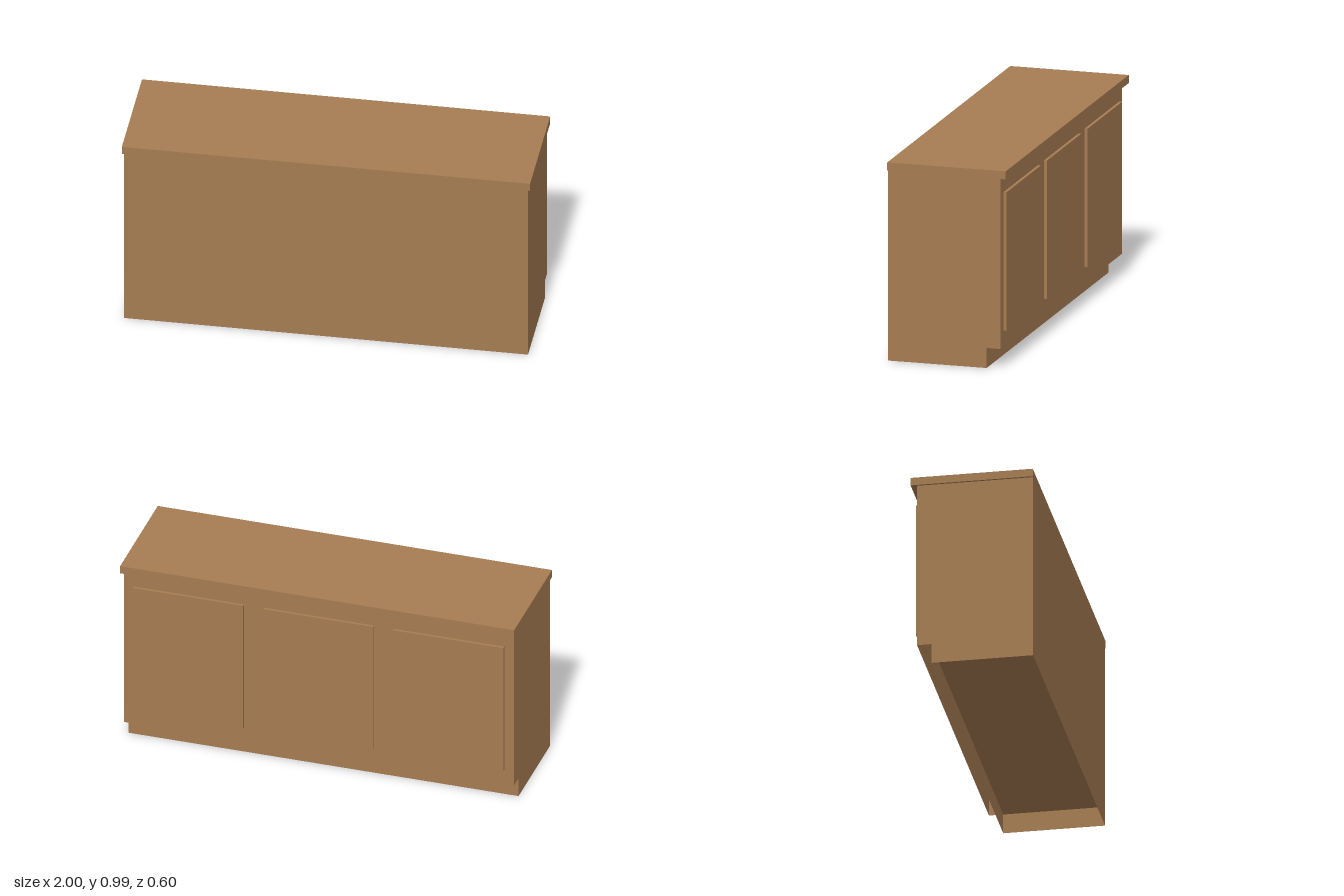
import * as THREE from 'three';

export function createModel() {
  const model = new THREE.Group();
  const wood = new THREE.MeshStandardMaterial({ color: 0xa67c52, side: THREE.DoubleSide });
  wood.name = 'oak wood';

  const HALF = 0.99, FRONT = 0.3, BACK = -0.27, KICK = -0.2, KICK_H = 0.1, BODY_H = 0.95;

  function add(name, geometry, x, y, z) {
    const mesh = new THREE.Mesh(geometry, wood);
    mesh.name = name;
    mesh.position.set(x, y, z);
    model.add(mesh);
    return mesh;
  }

  // Countertop slab
  add('countertop', new THREE.BoxGeometry(2, 0.04, 0.6), 0, 0.97, 0);

  // Thin side panels, notched at the toe kick (shape drawn in z and y)
  const profile = new THREE.Shape([
    [FRONT, 0], [FRONT, BODY_H], [BACK, BODY_H], [BACK, KICK_H], [KICK, KICK_H], [KICK, 0],
  ].map(([z, y]) => new THREE.Vector2(z, y)));
  for (const side of [-1, 1]) {
    const panel = new THREE.ShapeGeometry(profile).rotateY(-Math.PI / 2);
    add(side > 0 ? 'leftSidePanel' : 'rightSidePanel', panel, side * HALF, 0, 0);
  }

  // Thin upright panels: plain front, door frame at the back, recessed toe kick
  const upright = (h) => new THREE.PlaneGeometry(HALF * 2, h);
  add('frontPanel', upright(BODY_H), 0, BODY_H / 2, FRONT);
  add('doorFrame', upright(BODY_H - KICK_H).rotateY(Math.PI), 0, (BODY_H + KICK_H) / 2, BACK);
  add('toeKick', upright(KICK_H).rotateY(Math.PI), 0, KICK_H / 2, KICK);

  // Cabinet floor, open under the overhang
  add('cabinetFloor', upright(FRONT - KICK).rotateX(Math.PI / 2), 0, KICK_H, (FRONT + KICK) / 2);

  // Three raised doors
  for (const i of [-1, 0, 1]) {
    add('door', new THREE.BoxGeometry(0.56, 0.69, 0.015), i * 0.66, 0.525, BACK - 0.0075);
  }

  return model;
}
